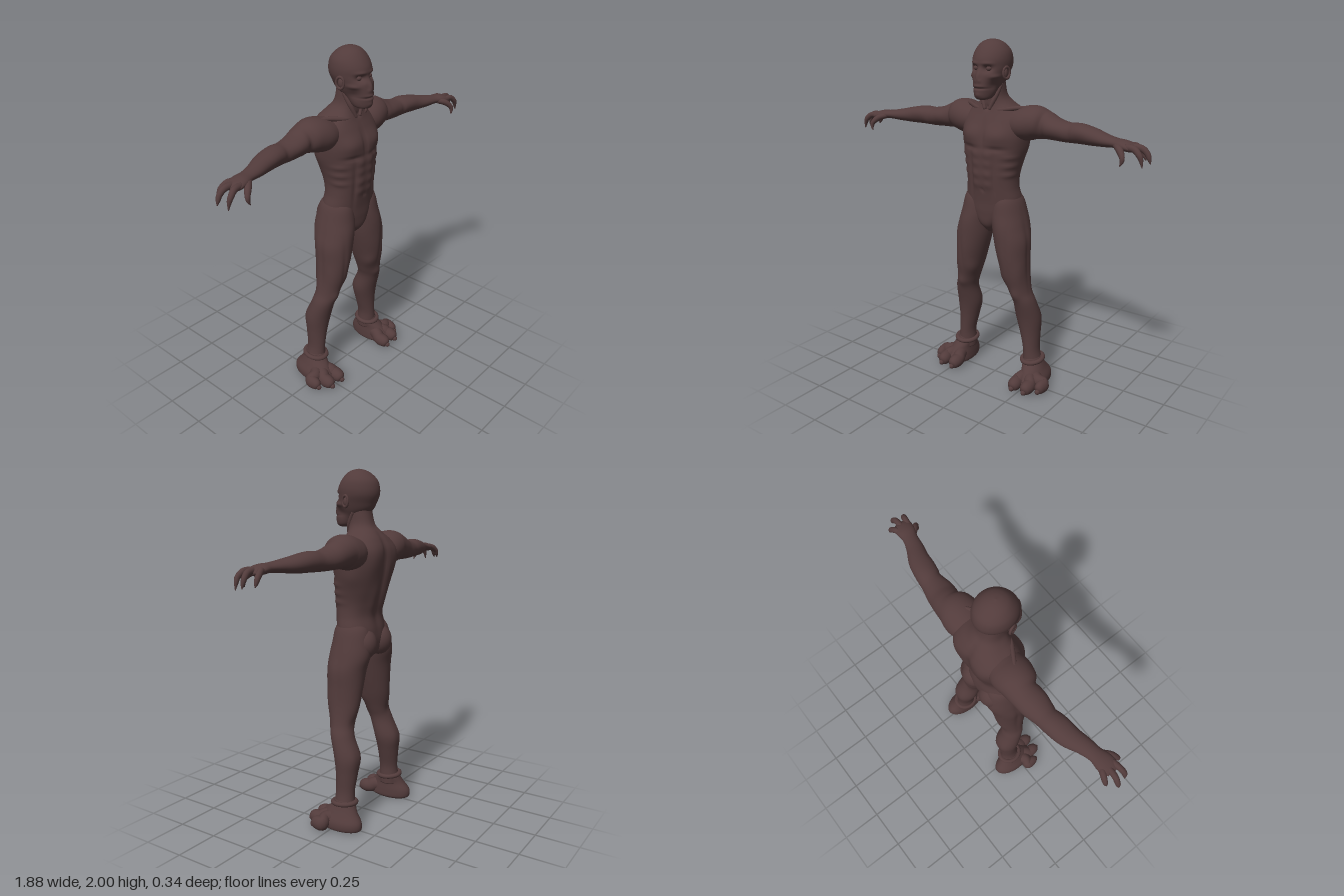
import * as THREE from 'three';

const skin = new THREE.MeshStandardMaterial({ color: 0x523b3b });
skin.name = 'dark brown skin';
const Y = new THREE.Vector3(0, 1, 0);

function add(group, name, geo) {
  const mesh = new THREE.Mesh(geo, skin);
  mesh.name = name;
  group.add(mesh);
  return mesh;
}

// Smooth body through sections [x, y, z, radiusU, radiusV]; bumps [x,y,z, rx,ry,rz, height] sculpt the skin.
function loft(sections, { axis = null, side = 1, bumps = [], power = 2, seg = 32, steps = 6 } = {}) {
  const n = sections.length - 1, rows = n * steps, pos = [], idx = [];
  const sample = (t) => {
    const i = Math.min(Math.floor(t), n - 1), f = t - i;
    const [a, b, c, d] = [i - 1, i, i + 1, i + 2].map((k) => sections[Math.max(0, Math.min(n, k))]);
    return b.map((_, k) => 0.5 * (2 * b[k] + (c[k] - a[k]) * f + (2 * a[k] - 5 * b[k] + 4 * c[k] - d[k]) * f * f
      + (3 * b[k] - a[k] - 3 * c[k] + d[k]) * f * f * f));
  };
  const vec = (s) => new THREE.Vector3(s[0], s[1], s[2]);
  const along = vec(sections[n]).sub(vec(sections[0])).normalize();
  const ref = Math.abs(along.z) > 0.75 ? Y : new THREE.Vector3(0, 0, 1);
  const bend = (v) => Math.sign(v) * Math.abs(v) ** (2 / power);
  for (let r = 0; r <= rows; r++) {
    const t = r / steps, s = sample(t), c = vec(s);
    const T = axis ? axis.clone()
      : vec(sample(Math.min(n, t + 0.05))).sub(vec(sample(Math.max(0, t - 0.05)))).normalize();
    const U = T.clone().cross(ref).normalize(), V = T.clone().cross(U);
    for (let j = 0; j < seg; j++) {
      const a = (j / seg) * Math.PI * 2;
      const d = U.clone().multiplyScalar(bend(Math.cos(a)) * Math.max(s[3], 0.001))
        .addScaledVector(V, bend(Math.sin(a)) * Math.max(s[4], 0.001));
      const p = c.clone().add(d);
      let h = 0;
      for (const [x, y, z, rx, ry, rz, k] of bumps)
        h += k * Math.exp(-(((p.x - x) / rx) ** 2) - ((p.y - y) / ry) ** 2 - ((p.z - z) / rz) ** 2);
      p.addScaledVector(d.normalize(), h);
      pos.push(p.x * side, p.y, p.z);
      if (r < rows) {
        const q = r * seg + j, w = r * seg + (j + 1) % seg;
        idx.push(q, w, q + seg, w, w + seg, q + seg);
      }
    }
  }
  // end caps
  const first = sections[0], last = sections[n], m = pos.length / 3;
  pos.push(first[0] * side, first[1], first[2], last[0] * side, last[1], last[2]);
  for (let j = 0; j < seg; j++) {
    const k = (j + 1) % seg;
    idx.push(m, k, j, m + 1, rows * seg + j, rows * seg + k);
  }
  // turn the faces outward
  let volume = 0;
  const at = (i) => new THREE.Vector3().fromArray(pos, i * 3);
  for (let i = 0; i < idx.length; i += 3) volume += at(idx[i]).dot(at(idx[i + 1]).cross(at(idx[i + 2])));
  if (volume < 0) idx.reverse();
  const geo = new THREE.BufferGeometry();
  geo.setAttribute('position', new THREE.Float32BufferAttribute(pos, 3));
  geo.setIndex(idx);
  geo.computeVertexNormals();
  return geo;
}

const ball = (x, y, z, rx, ry, rz) => new THREE.SphereGeometry(1, 28, 20).scale(rx, ry, rz).translate(x, y, z);
const both = (list) => list.flatMap((b) => [b, [-b[0], ...b.slice(1)]]);
// vertical section written as height, centre, radii
const up = (list) => list.map(([y, x, z, a, b]) => [x, y, z, a, b]);

export function createModel() {
  const model = new THREE.Group();
  model.name = 'figure';

  // Torso and neck
  const torsoBumps = both([
    [0.085, 1.5, 0.12, 0.065, 0.05, 0.07, 0.016], [0.09, 1.425, 0.13, 0.06, 0.012, 0.06, -0.01],
    [0.1, 1.52, -0.16, 0.055, 0.08, 0.06, 0.016], [0.05, 1.27, -0.11, 0.035, 0.12, 0.05, 0.01],
    [0.19, 1.42, -0.05, 0.04, 0.06, 0.06, 0.008], [0.075, 1.27, 0.12, 0.012, 0.13, 0.06, -0.008],
    ...[1.22, 1.28, 1.34, 1.39].map((y) => [0.036, y, 0.14, 0.026, 0.022, 0.04, 0.007]),
    ...[1.28, 1.33, 1.38].map((y) => [0.14, y, 0.07, 0.04, 0.013, 0.05, 0.007]),
  ]);
  torsoBumps.push([0, 1.42, -0.16, 0.02, 0.22, 0.07, -0.02], [0, 1.5, 0.13, 0.012, 0.07, 0.05, -0.012],
    [0, 1.19, 0.13, 0.008, 0.01, 0.03, -0.008], [0, 1.64, 0.08, 0.015, 0.015, 0.03, -0.01]);
  add(model, 'torso', loft(up([
    [0.93, 0, 0.025, 0.02, 0.03], [0.98, 0, 0.005, 0.07, 0.095], [1.05, 0, 0, 0.14, 0.112],
    [1.12, 0, 0.003, 0.17, 0.112], [1.2, 0, 0.015, 0.157, 0.109], [1.27, 0, 0.012, 0.155, 0.12],
    [1.35, 0, 0, 0.17, 0.133], [1.43, 0, -0.01, 0.188, 0.143], [1.5, 0, -0.018, 0.2, 0.142],
    [1.57, 0, -0.03, 0.2, 0.13], [1.62, 0, -0.03, 0.16, 0.11], [1.66, 0, -0.02, 0.1, 0.09],
    [1.7, 0, -0.002, 0.068, 0.073], [1.76, 0, 0.008, 0.06, 0.066], [1.82, 0, 0.01, 0.058, 0.064],
  ]), { axis: Y, bumps: torsoBumps, power: 2.25, seg: 96, steps: 8 }));

  // Head: sockets, brow, nose, cheekbones, mouth
  const headBumps = both([
    [0.042, 1.85, 0.13, 0.022, 0.016, 0.04, -0.022], [0.04, 1.878, 0.13, 0.03, 0.01, 0.04, 0.007],
    [0.07, 1.81, 0.1, 0.022, 0.012, 0.04, 0.008], [0.062, 1.765, 0.1, 0.02, 0.025, 0.05, -0.01],
    [0.014, 1.79, 0.17, 0.008, 0.01, 0.03, 0.004],
  ]);
  headBumps.push([0, 1.81, 0.16, 0.011, 0.03, 0.04, 0.009], [0, 1.75, 0.165, 0.045, 0.005, 0.06, -0.01],
    [0, 1.762, 0.165, 0.03, 0.007, 0.04, 0.004], [0, 1.715, 0.16, 0.02, 0.012, 0.03, 0.004]);
  add(model, 'head', loft(up([
    [1.688, 0, 0.112, 0.02, 0.022], [1.7, 0, 0.1, 0.045, 0.055], [1.74, 0, 0.08, 0.06, 0.083],
    [1.78, 0, 0.05, 0.076, 0.112], [1.82, 0, 0.035, 0.09, 0.12], [1.86, 0, 0.02, 0.102, 0.12],
    [1.9, 0, 0.018, 0.104, 0.118], [1.94, 0, 0.015, 0.094, 0.101], [1.975, 0, 0.018, 0.067, 0.069],
    [1.993, 0, 0.02, 0.035, 0.036], [2, 0, 0.02, 0.002, 0.002],
  ]), { axis: Y, bumps: headBumps, seg: 96, steps: 10 }));

  for (const side of [1, -1]) {
    const word = side > 0 ? 'left' : 'right';
    const part = (name, sections, options = {}) => add(model, `${word} ${name}`, loft(sections, { side, ...options }));
    const blob = (name, x, ...rest) => add(model, `${word} ${name}`, ball(x * side, ...rest));

    // Eye and ear
    blob('eye', 0.041, 1.852, 0.112, 0.015, 0.013, 0.014);
    blob('ear', 0.096, 1.825, 0.04, 0.012, 0.026, 0.018);
    const rim = add(model, `${word} ear rim`, new THREE.TorusGeometry(0.026, 0.007, 10, 28));
    rim.scale.set(0.85, 1.15, 1);
    rim.rotation.y = side * 1.3;
    rim.position.set(side * 0.103, 1.828, 0.04);

    // Neck tendon and collarbone
    part('neck tendon', [[0.058, 1.77, 0.02, 0.01, 0.01], [0.042, 1.7, 0.055, 0.014, 0.014],
      [0.014, 1.63, 0.074, 0.009, 0.009]], { seg: 14 });
    part('collarbone', [[0.015, 1.627, 0.066, 0.01, 0.01], [0.08, 1.632, 0.052, 0.012, 0.012],
      [0.15, 1.642, 0.012, 0.012, 0.012], [0.2, 1.645, -0.02, 0.01, 0.01]], { seg: 14 });

    // Arm from shoulder to palm
    part('arm', [
      [0.08, 1.553, -0.03, 0.07, 0.08], [0.17, 1.556, -0.032, 0.09, 0.108], [0.24, 1.568, -0.037, 0.092, 0.104],
      [0.3, 1.559, -0.045, 0.077, 0.085], [0.37, 1.545, -0.041, 0.06, 0.073], [0.45, 1.537, -0.035, 0.053, 0.063],
      [0.52, 1.54, -0.029, 0.053, 0.061], [0.6, 1.535, -0.014, 0.046, 0.058], [0.68, 1.531, 0.015, 0.034, 0.048],
      [0.75, 1.529, 0.032, 0.025, 0.041], [0.8, 1.525, 0.041, 0.026, 0.05], [0.845, 1.517, 0.045, 0.021, 0.05],
      [0.87, 1.512, 0.045, 0.008, 0.03],
    ], { seg: 40, bumps: [[0.39, 1.56, 0.03, 0.05, 0.04, 0.04, 0.008], [0.38, 1.51, -0.1, 0.06, 0.04, 0.04, 0.008],
      [0.31, 1.56, 0.03, 0.015, 0.08, 0.06, -0.01], [0.47, 1.54, 0.04, 0.015, 0.05, 0.05, -0.006],
      [0.55, 1.56, 0.03, 0.06, 0.03, 0.04, 0.007]] });

    // Clawed fingers: root z, tip x, tip y, tip z
    [[0.012, 0.895, 1.452, -0.008], [0.042, 0.937, 1.447, 0.035], [0.075, 0.92, 1.436, 0.092]].forEach(([z, x, y, tz], i) =>
      part(`finger ${i + 1}`, [[0.825, 1.522, z, 0.017, 0.017], [x - 0.05, 1.52, (z + tz) / 2, 0.017, 0.016],
        [x - 0.02, 1.497, tz, 0.015, 0.014], [x - 0.008, 1.472, tz, 0.011, 0.011],
        [x, y, tz, 0.002, 0.002]], { seg: 16 }));
    part('thumb', [[0.765, 1.523, 0.06, 0.016, 0.018], [0.8, 1.51, 0.095, 0.018, 0.019],
      [0.825, 1.483, 0.118, 0.014, 0.014], [0.828, 1.46, 0.124, 0.01, 0.01], [0.82, 1.438, 0.128, 0.002, 0.002]], { seg: 16 });

    // Leg with thigh, knee and calf muscles
    part('leg', up([
      [1.18, 0.1, 0.01, 0.045, 0.06], [1.13, 0.097, 0.003, 0.079, 0.1], [1.05, 0.101, 0, 0.098, 0.118],
      [0.98, 0.116, 0.004, 0.101, 0.124], [0.9, 0.132, 0.014, 0.103, 0.115], [0.8, 0.145, 0.017, 0.09, 0.107],
      [0.7, 0.161, 0.014, 0.076, 0.094], [0.6, 0.185, 0.008, 0.065, 0.073], [0.53, 0.207, -0.006, 0.066, 0.069],
      [0.42, 0.215, -0.04, 0.074, 0.073], [0.32, 0.225, -0.046, 0.06, 0.064], [0.22, 0.236, -0.043, 0.047, 0.057],
      [0.15, 0.242, -0.044, 0.054, 0.06], [0.1, 0.247, -0.045, 0.058, 0.062],
    ]), { axis: Y, seg: 56, bumps: [[0.19, 0.58, 0.08, 0.03, 0.035, 0.04, 0.01], [0.11, 0.68, 0.08, 0.03, 0.05, 0.05, 0.009],
      [0.22, 0.72, 0.08, 0.03, 0.07, 0.05, 0.006], [0.16, 0.8, 0.13, 0.012, 0.15, 0.04, -0.005],
      [0.19, 0.42, -0.11, 0.03, 0.07, 0.04, 0.006], [0.25, 0.42, -0.11, 0.03, 0.07, 0.04, 0.006],
      [0.19, 0.6, -0.07, 0.03, 0.04, 0.03, -0.007], [0.235, 0.85, 0.01, 0.05, 0.2, 0.015, -0.007]] });
    blob('buttock', 0.078, 1.045, -0.055, 0.08, 0.092, 0.085);

    // Ankle fold
    const fold = add(model, `${word} ankle fold`, new THREE.TorusGeometry(0.059, 0.014, 12, 40));
    fold.rotation.set(Math.PI / 2 + 0.08, side * 0.06, 0);
    fold.position.set(side * 0.245, 0.152, -0.043);
    fold.scale.set(1, 1.12, 1);

    // Foot and broad toes
    part('foot', up([
      [0, 0.268, -0.035, 0.055, 0.11], [0.015, 0.272, -0.032, 0.073, 0.137], [0.055, 0.272, -0.034, 0.074, 0.134],
      [0.1, 0.262, -0.035, 0.062, 0.1], [0.135, 0.25, -0.042, 0.057, 0.073], [0.17, 0.243, -0.044, 0.05, 0.058],
    ]), { axis: Y, seg: 48 });
    [[0.223, 0.152, 0.038], [0.305, 0.15, 0.037], [0.367, 0.095, 0.032]].forEach(([x, z, r], i) => {
      const mx = 0.255 + (x - 0.255) * 0.6;
      part(`toe ${i + 1}`, [[0.255, 0.075, -0.05, 0.03, 0.03], [mx, 0.062, z * 0.3, 0.037, 0.042],
        [x, 0.046, z - 0.07, r, 0.041], [x, 0.042, z - 0.035, r, 0.04], [x, 0.036, z - 0.008, r * 0.7, 0.029],
        [x, 0.033, z, 0.004, 0.004]], { seg: 24 });
      blob(`toe claw ${i + 1}`, x, 0.028, z - 0.006, 0.016, 0.018, 0.02);
    });
  }
  return model;
}
